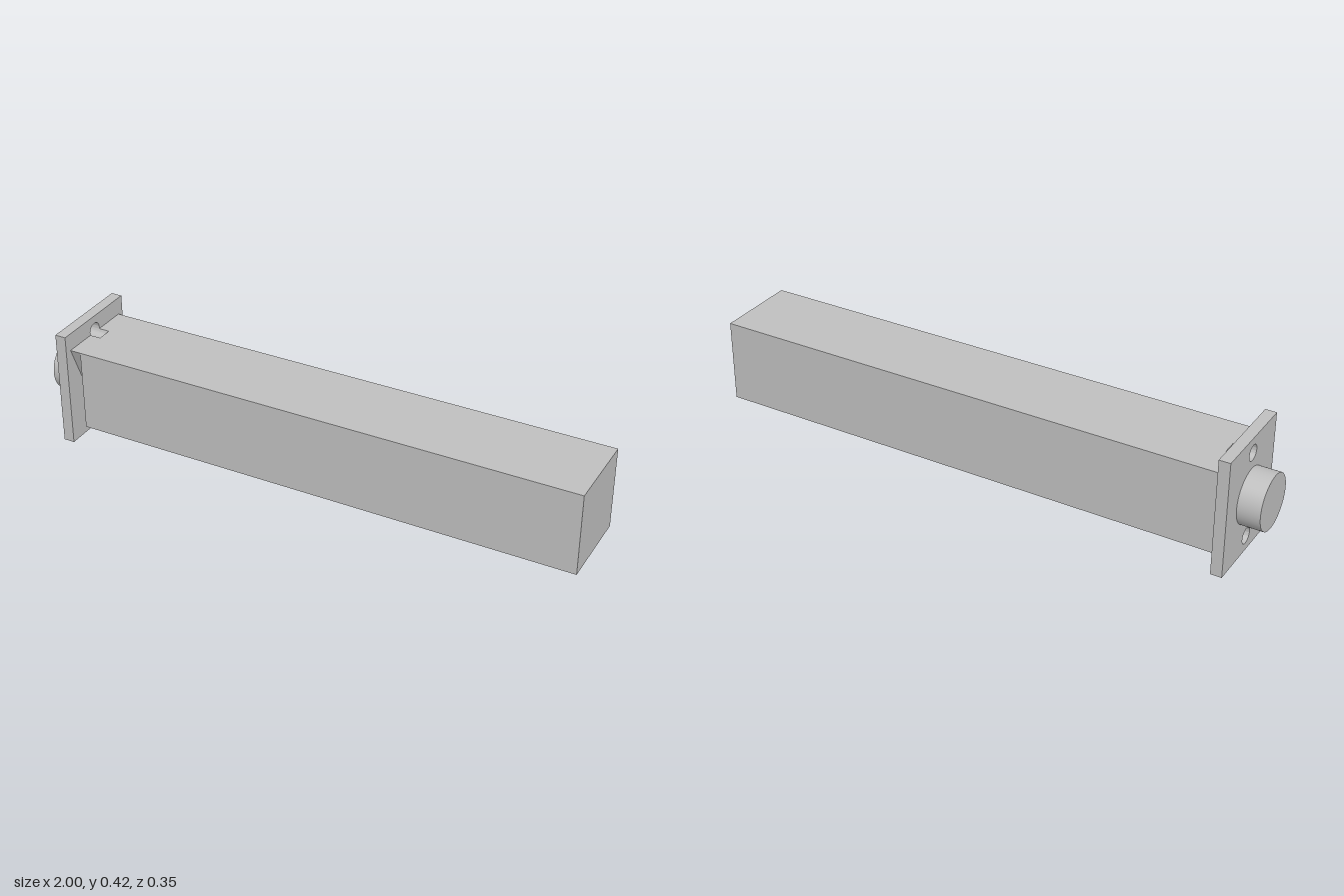
import * as THREE from 'three';
import { toCreasedNormals } from 'three/addons/utils/BufferGeometryUtils.js';

const CY = 0.2115;      // height of the long axis
const HOLE_R = 0.028;
const HOLE_DY = 0.1555; // bolt hole offset from the axis
const BAR = 0.149;      // half width of the square bar

export function createModel() {
  const group = new THREE.Group();
  const steel = new THREE.MeshStandardMaterial({ color: 0xbfbfbf });
  steel.name = 'grey steel';

  function add(name, geometry, x) {
    const mesh = new THREE.Mesh(geometry, steel);
    mesh.name = name;
    mesh.position.set(x, CY, 0);
    group.add(mesh);
  }

  // Extrude a cross-section along +x, keeping the curved walls smooth
  function extrudeX(shape, depth) {
    const g = new THREE.ExtrudeGeometry(shape, { depth, bevelEnabled: false, curveSegments: 32 });
    return toCreasedNormals(g.rotateY(Math.PI / 2), 0.5);
  }

  // End plate with two bolt holes
  const plate = new THREE.Shape();
  plate.moveTo(-0.174, -CY).lineTo(0.174, -CY).lineTo(0.174, CY).lineTo(-0.174, CY).closePath();
  for (const s of [-1, 1]) {
    plate.holes.push(new THREE.Path().absarc(0, s * HOLE_DY, HOLE_R, 0, Math.PI * 2, true));
  }
  add('endPlate', extrudeX(plate, 0.04), -0.92);

  // Short start of the bar, where the bolt holes cut grooves into it
  const a = Math.asin((HOLE_DY - BAR) / HOLE_R);
  const notched = new THREE.Shape();
  notched.moveTo(-BAR, -BAR);
  notched.absarc(0, -HOLE_DY, HOLE_R, Math.PI - a, a, true);
  notched.lineTo(BAR, -BAR).lineTo(BAR, BAR);
  notched.absarc(0, HOLE_DY, HOLE_R, -a, -Math.PI + a, true);
  notched.lineTo(-BAR, BAR).closePath();
  add('notchedBarEnd', extrudeX(notched, 0.04), -0.88);

  // Long square bar
  add('bar', new THREE.BoxGeometry(1.84, BAR * 2, BAR * 2), 0.08);

  // Round boss on the outer side of the plate
  add('boss', new THREE.CylinderGeometry(0.098, 0.098, 0.08, 64).rotateZ(Math.PI / 2), -0.96);

  return group;
}
